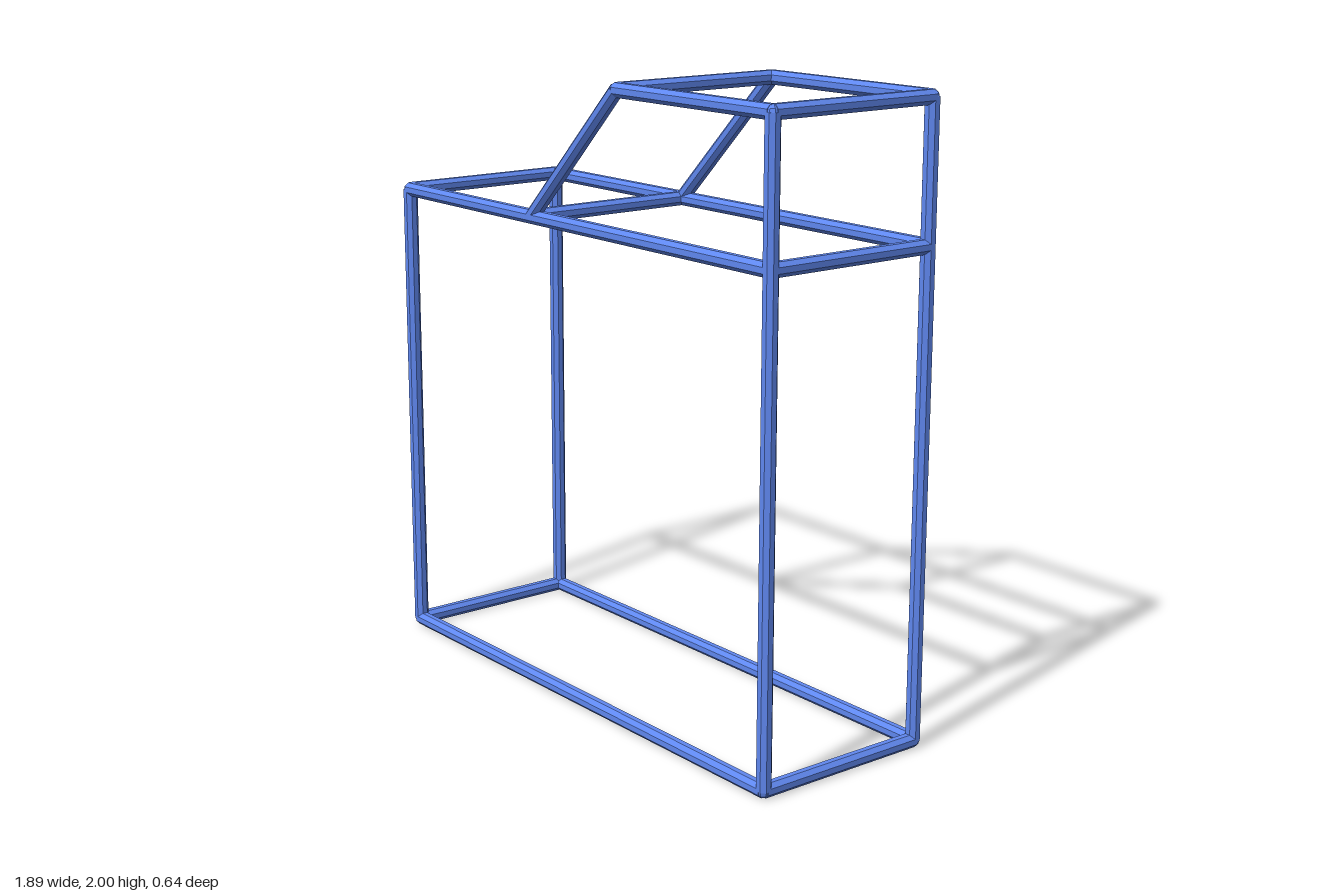
import * as THREE from 'three';

const R = 0.022;              // rod half-thickness
const SIDES = 8;
const HX = 0.921, HZ = 0.3;   // frame half-width and half-depth
const Y0 = R, Y1 = 1.548, Y2 = 2 - R;

export function createModel() {
  const model = new THREE.Group();
  const material = new THREE.MeshStandardMaterial({ color: 0x6088f0, flatShading: true });

  // Eight-sided rod with its flats facing the axes
  function rod(name, a, b) {
    const dir = new THREE.Vector3().subVectors(b, a);
    const rc = R / Math.cos(Math.PI / SIDES);
    const geometry = new THREE.CylinderGeometry(rc, rc, dir.length(), SIDES);
    geometry.rotateY(Math.PI / SIDES);
    const mesh = new THREE.Mesh(geometry, material);
    mesh.name = name;
    mesh.position.addVectors(a, b).multiplyScalar(0.5);
    mesh.quaternion.setFromUnitVectors(new THREE.Vector3(0, 1, 0), dir.normalize());
    model.add(mesh);
  }

  // Frame nodes in the side profile, [x, y]
  const nodes = {
    bottomRight: [-HX, Y0], bottomLeft: [HX, Y0],
    shoulderRight: [-HX, Y1], shoulderMiddle: [-0.208, Y1], shoulderLeft: [HX, Y1],
    topMiddle: [0.23, Y2], topLeft: [HX, Y2],
  };
  const at = (key, z) => new THREE.Vector3(nodes[key][0], nodes[key][1], z);

  // Rods of the profile, repeated on front and back
  const profile = [
    ['bottomRail', 'bottomRight', 'bottomLeft'],
    ['rightPost', 'bottomRight', 'shoulderRight'],
    ['leftPost', 'bottomLeft', 'topLeft'],
    ['shoulderRail', 'shoulderRight', 'shoulderLeft'],
    ['slopedRail', 'shoulderMiddle', 'topMiddle'],
    ['topRail', 'topMiddle', 'topLeft'],
  ];
  for (const [side, z] of [['front', HZ], ['back', -HZ]]) {
    for (const [name, a, b] of profile) rod(`${side} ${name}`, at(a, z), at(b, z));

    // Rounded joints closing the rod ends
    for (const key of Object.keys(nodes)) {
      const joint = new THREE.Mesh(
        new THREE.SphereGeometry(R, SIDES, 6).rotateY(Math.PI / SIDES), material);
      joint.name = `${side} ${key} joint`;
      joint.position.copy(at(key, z));
      model.add(joint);
    }
  }

  // Crossbars joining front and back at every node
  for (const key of Object.keys(nodes)) rod(`${key} crossbar`, at(key, -HZ), at(key, HZ));

  return model;
}
